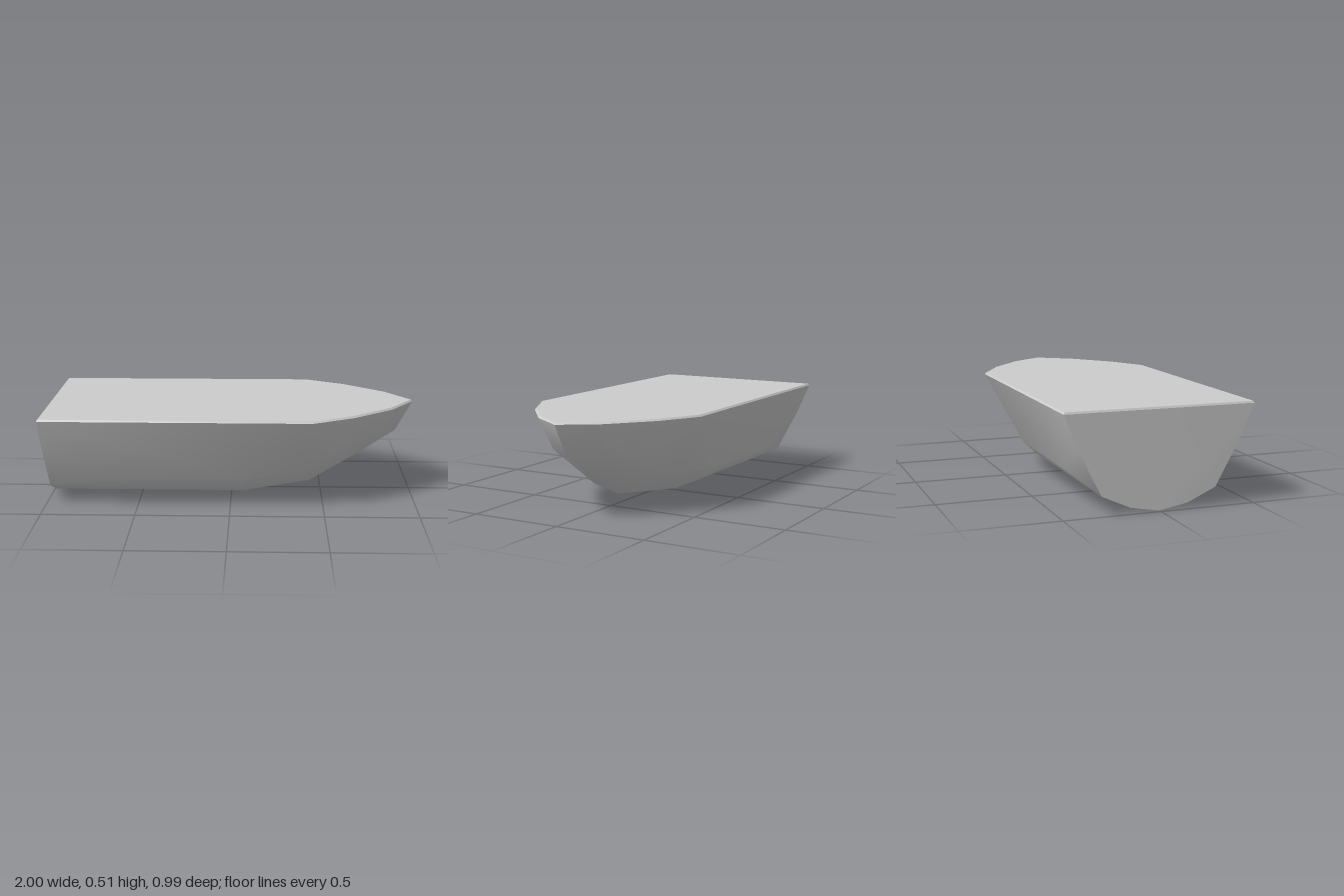
import * as THREE from 'three';
import { ConvexGeometry } from 'three/addons/geometries/ConvexGeometry.js';
import { toCreasedNormals } from 'three/addons/utils/BufferGeometryUtils.js';

export function createModel() {
  const group = new THREE.Group();
  group.name = 'boatHull';

  // Each point is [x, y, half width]; the bow points to +x.
  const deckRim = [[-1, 0.505, 0.495], [0.43, 0.505, 0.495], [0.65, 0.505, 0.375], [0.87, 0.505, 0.19], [1, 0.505, 0]];
  const deckTop = [[-0.995, 0.515, 0.487], [0.428, 0.515, 0.487], [0.645, 0.515, 0.368], [0.863, 0.515, 0.184], [0.992, 0.515, 0]];
  const keel = [[-0.98, 0, 0], [0.07, 0, 0], [0.43, 0.05, 0], [0.69, 0.195, 0], [0.91, 0.34, 0]];
  const bilge = [
    [-0.98, 0.027, 0.15], [0.07, 0.027, 0.15], [0.43, 0.09, 0.15],
    [-0.98, 0.095, 0.30], [0.07, 0.095, 0.30], [0.40, 0.195, 0.32],
  ];
  const sides = [
    [-0.992, 0.34, 0.426], [-0.63, 0.162, 0.37], [0.08, 0.162, 0.37],
    [0.60, 0.34, 0.31], [0.80, 0.34, 0.155],
  ];

  // Mirror the half hull across the centreline
  const points = [];
  for (const [x, y, z] of [...deckRim, ...deckTop, ...keel, ...bilge, ...sides]) {
    points.push(new THREE.Vector3(x, y, z));
    if (z > 0) points.push(new THREE.Vector3(x, y, -z));
  }

  // Closed hull: smooth bilge, sharp deck edge and transom
  const geometry = toCreasedNormals(new ConvexGeometry(points), 0.5);
  const hull = new THREE.Mesh(geometry, new THREE.MeshStandardMaterial({ color: 0xcccccc }));
  hull.name = 'hull';
  group.add(hull);
  return group;
}
